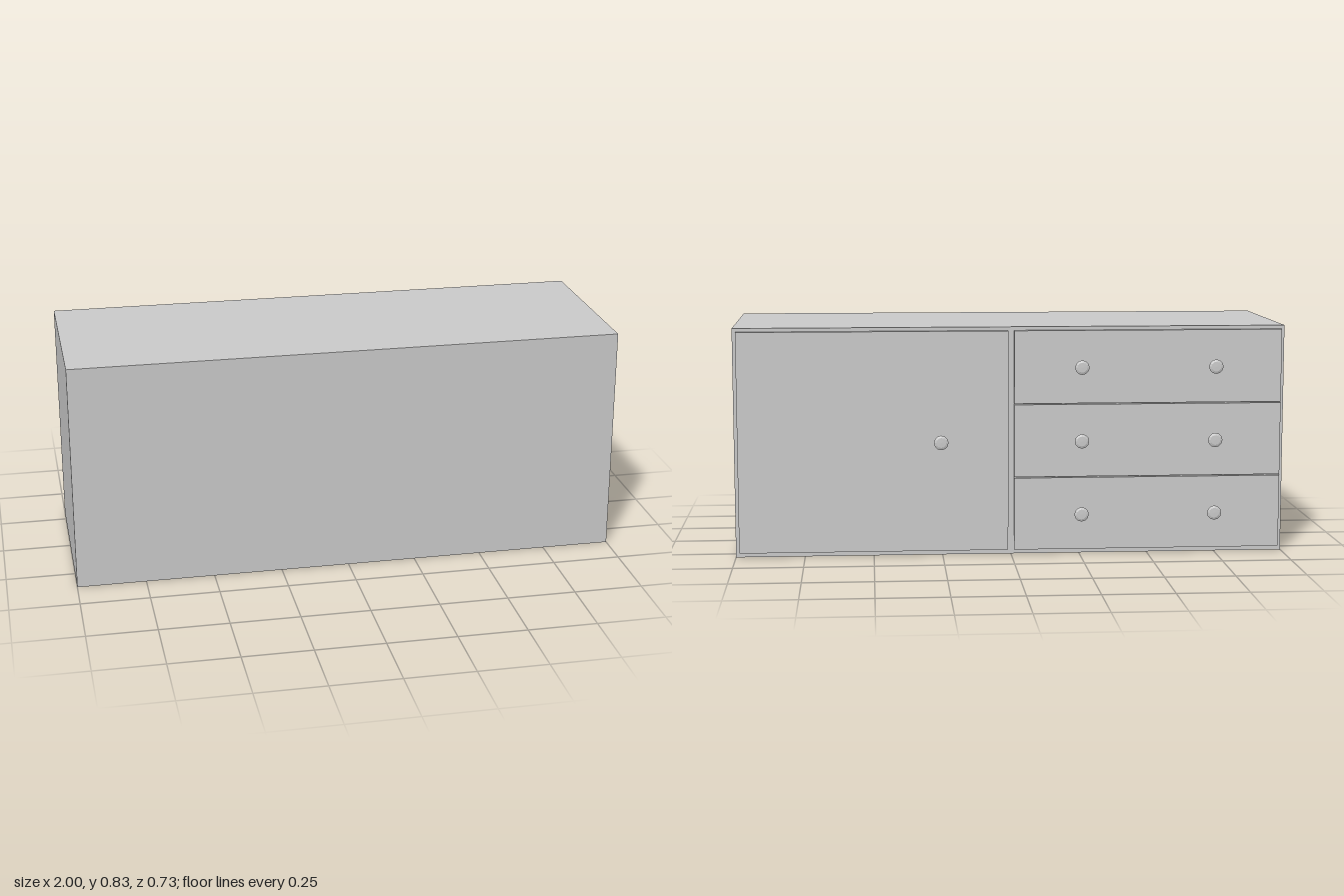
import * as THREE from 'three';

const material = new THREE.MeshStandardMaterial({ color: 0xcccccc });
const knobMaterial = new THREE.MeshStandardMaterial({ color: 0xcccccc, flatShading: true });

// Box given by its minimum and maximum on each axis
function slab(name, [x0, x1], [y0, y1], [z0, z1]) {
  const mesh = new THREE.Mesh(new THREE.BoxGeometry(x1 - x0, y1 - y0, z1 - z0), material);
  mesh.name = name;
  mesh.position.set((x0 + x1) / 2, (y0 + y1) / 2, (z0 + z1) / 2);
  return mesh;
}

// Flared knob: narrow neck, wide rim, shallow cap
const knobProfile = [
  [0.013, 0], [0.0135, 0.005], [0.017, 0.016], [0.021, 0.0215], [0.0265, 0.0245], [0.018, 0.0275], [0, 0.028],
].map(([r, h]) => new THREE.Vector2(r, h));
const knobGeometry = new THREE.LatheGeometry(knobProfile, 12).rotateX(-Math.PI / 2);

export function createModel() {
  const model = new THREE.Group();
  model.name = 'sideboard';

  const bodyZ = -0.312;
  const panelZ = -0.333;
  const bottom = 0.018;
  const top = 0.82;

  const addKnob = (name, x, y) => {
    const knob = new THREE.Mesh(knobGeometry, knobMaterial);
    knob.name = name;
    knob.position.set(x, y, panelZ);
    model.add(knob);
  };

  // Cabinet body
  model.add(slab('cabinetBody', [-1, 1], [0, 0.833], [bodyZ, 0.364]));

  // Door with a single knob
  model.add(slab('door', [0.011, 0.987], [bottom, top], [panelZ, bodyZ]));
  addKnob('doorKnob', 0.255, (bottom + top) / 2);

  // Three stacked drawers, two knobs each
  const gap = 0.004;
  const height = (top - bottom - 2 * gap) / 3;
  for (let i = 0; i < 3; i++) {
    const y = bottom + i * (height + gap);
    model.add(slab('drawerFront', [-0.987, -0.011], [y, y + height], [panelZ, bodyZ]));
    for (const x of [-0.743, -0.255]) addKnob('drawerKnob', x, y + height / 2);
  }

  return model;
}
